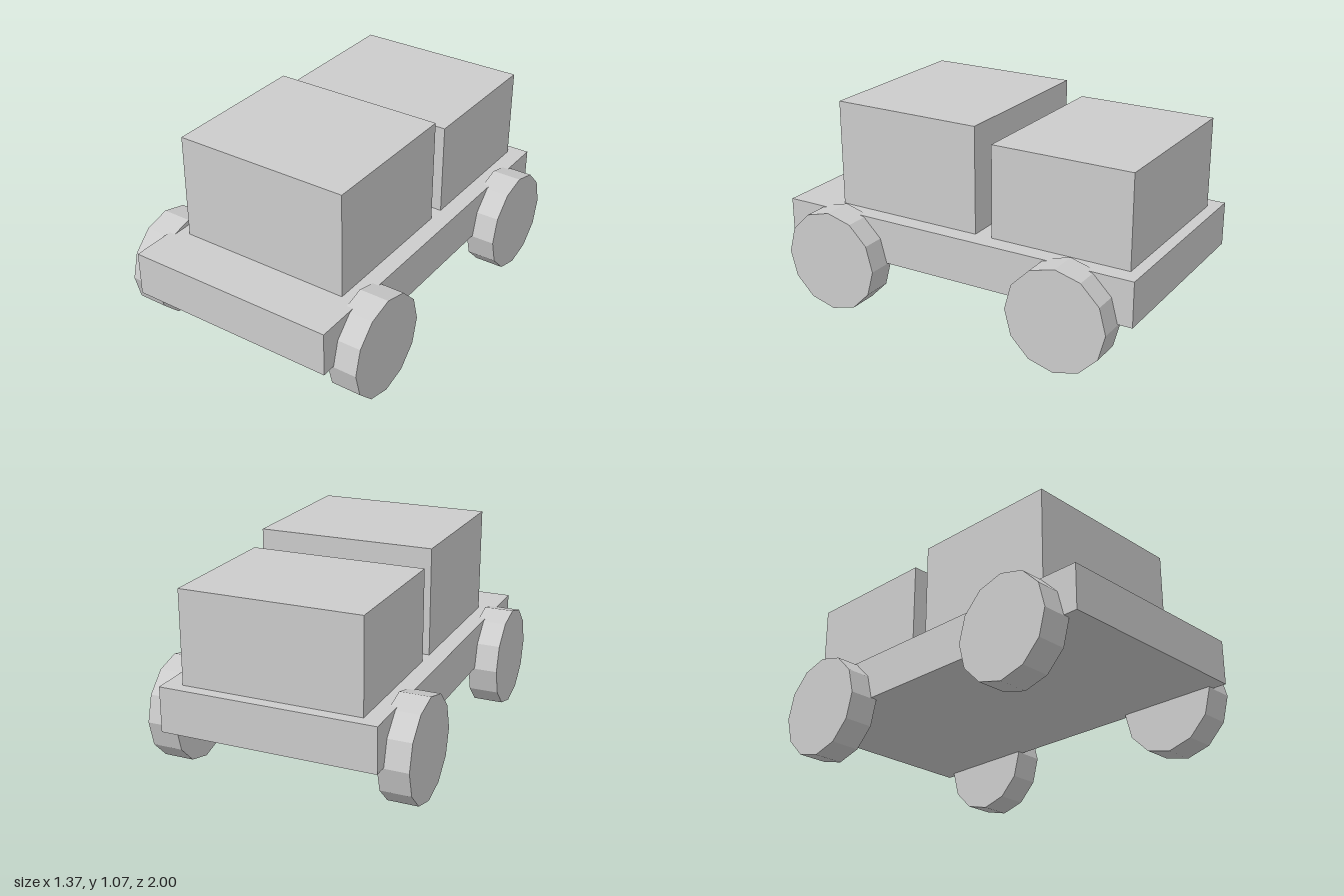
import * as THREE from 'three';

export function createModel() {
  const group = new THREE.Group();
  const material = new THREE.MeshStandardMaterial({ color: 0xcccccc, flatShading: true });

  // Box given by its half width and its y and z ranges
  function addBox(name, halfWidth, y0, y1, z0, z1) {
    const mesh = new THREE.Mesh(new THREE.BoxGeometry(halfWidth * 2, y1 - y0, z1 - z0), material);
    mesh.name = name;
    mesh.position.set(0, (y0 + y1) / 2, (z0 + z1) / 2);
    group.add(mesh);
  }

  addBox('chassis', 0.561, 0.272, 0.507, -1, 1);
  addBox('cab', 0.468, 0.507, 1.066, -0.094, 0.72);
  addBox('cargoBox', 0.468, 0.507, 0.991, -0.938, -0.188);

  // Four twelve-sided wheels, axles along x
  const wheelGeometry = new THREE.CylinderGeometry(0.268, 0.268, 0.158, 12).rotateZ(Math.PI / 2);
  for (const [end, z] of [['front', 0.657], ['rear', -0.657]]) {
    for (const [side, x] of [['Left', 0.606], ['Right', -0.606]]) {
      const wheel = new THREE.Mesh(wheelGeometry, material);
      wheel.name = `${end}${side}Wheel`;
      wheel.position.set(x, 0.268, z);
      group.add(wheel);
    }
  }
  return group;
}
